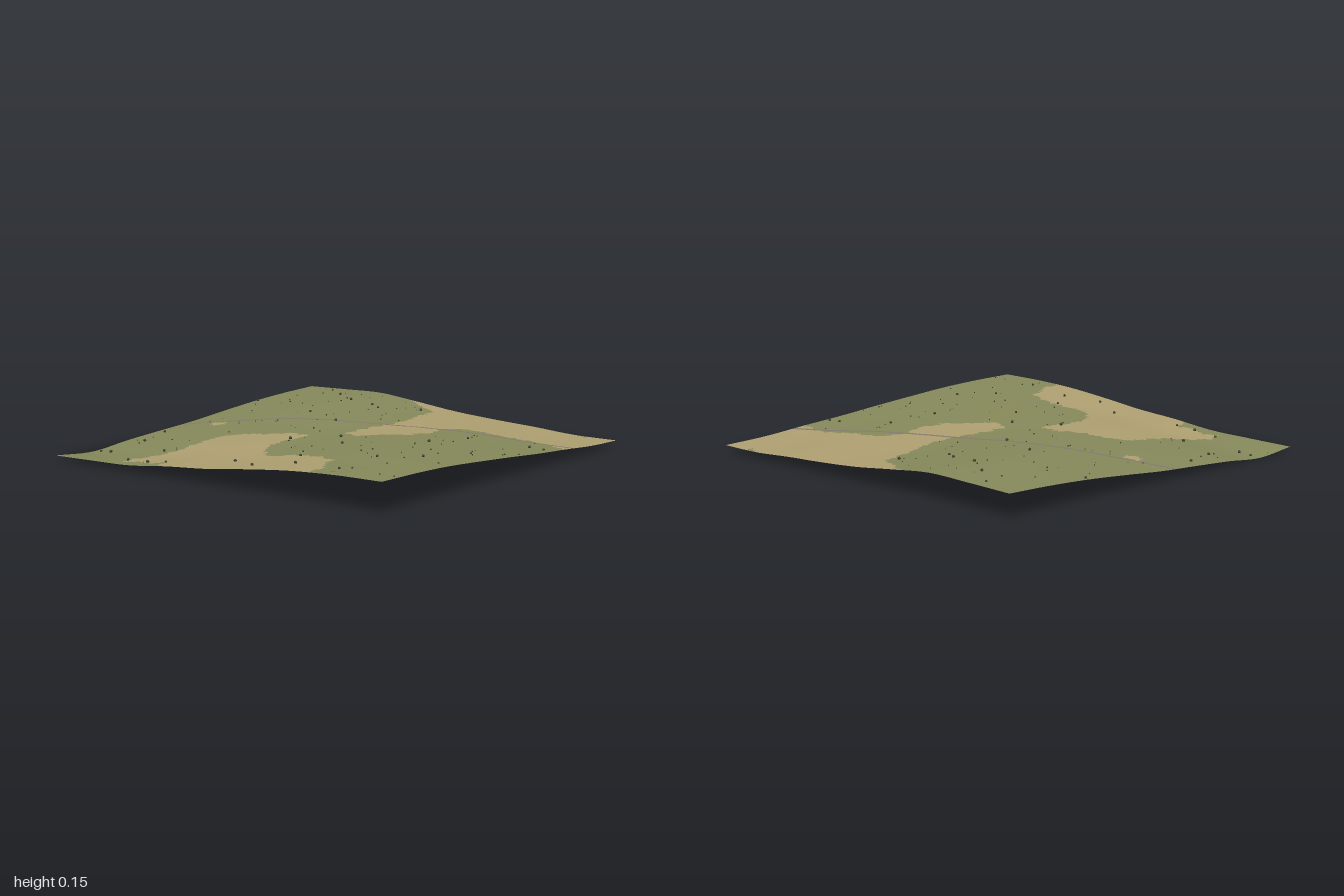
import * as THREE from 'three';
import { mergeGeometries } from 'three/addons/utils/BufferGeometryUtils.js';

const N = 200; // grid cells per side

// Edge heights, sampled every 0.25 from -1 to 1
const FRONT = [0.02, 0.026, 0.034, 0.06, 0.08, 0.11, 0.135, 0.148, 0.152];
const BACK = [0.115, 0.122, 0.126, 0.102, 0.075, 0.058, 0.046, 0.031, 0.03];
const LEFT = [0.115, 0.108, 0.095, 0.075, 0.053, 0.038, 0.022, 0.001, 0.02]; // x = -1
const RIGHT = [0.03, 0.04, 0.06, 0.078, 0.1, 0.12, 0.138, 0.148, 0.152]; // x = +1

// Outlines of the bare soil, as [x, z]
const SOIL = [
  [[-0.32, -1.01], [-0.2, -0.93], [-0.04, -0.85], [0, -0.65], [0.05, -0.5], [0.06, -0.35], [0.04, -0.1],
    [0.05, 0.02], [0.13, 0.07], [0.2, 0.03], [0.22, -0.02], [0.33, -0.13], [0.37, -0.28], [0.32, -0.4],
    [0.36, -0.48], [0.45, -0.52], [0.6, -0.52], [0.75, -0.55], [0.9, -0.53], [1.01, -0.48], [1.01, -1.01],
    [0.85, -1.01], [0.83, -0.97], [0.79, -0.98], [0.77, -1.01]],
  [[-0.31, 1.01], [-0.37, 0.88], [-0.42, 0.93], [-0.52, 0.9], [-0.6, 0.93], [-0.62, 0.85], [-0.56, 0.72],
    [-0.52, 0.65], [-0.51, 0.35], [-0.4, 0.26], [-0.28, 0.24], [-0.2, 0.17], [-0.08, 0.16], [-0.06, 0.25],
    [-0.09, 0.36], [-0.06, 0.5], [0.03, 0.62], [0.1, 0.67], [0.25, 0.63], [0.4, 0.65], [0.5, 0.7],
    [0.52, 0.78], [0.58, 0.85], [0.6, 1.01]],
  [[-0.83, 0.04], [-0.75, 0.02], [-0.72, 0.07], [-0.76, 0.1], [-0.81, 0.09]],
];

// Larger shrubs, as [x, z]
const SHRUBS = [
  [-0.79, -0.93], [-0.64, -0.81], [-0.48, -0.7], [-0.32, -0.68], [-0.25, -0.64], [-0.45, -0.31], [-0.2, -0.21],
  [-0.59, 0.66], [-0.87, 0.51], [-0.95, 0.74], [-0.88, 0.74], [-0.93, 0.3], [0.24, 0.3], [0.63, 0.54],
  [0.78, 0.39], [0.88, -0.36], [0.96, -0.36], [0.38, 0.82], [0.67, 0.87], [0.19, 0.9], [0, 0.8], [0.27, 0.65],
  [0.58, -0.27], [0.53, -0.01], [0.1, 0.13], [-0.46, 0.91], [-0.35, 0.9], [-0.61, 0.89], [-0.09, 0.29],
  [-0.98, -0.5], [-0.09, -0.81],
];

function seeded(seed) {
  return () => {
    seed = (seed * 16807) % 2147483647;
    return seed / 2147483647;
  };
}

// Smooth curve through evenly spaced samples, t in -1..1
function sample(a, t) {
  const s = (t + 1) * 4;
  const i = Math.min(7, Math.max(0, Math.floor(s)));
  const f = s - i;
  const p1 = a[i], p2 = a[i + 1];
  const p0 = i > 0 ? a[i - 1] : 2 * p1 - p2;
  const p3 = i < 7 ? a[i + 2] : 2 * p2 - p1;
  return p1 + 0.5 * f * (p2 - p0 + f * (2 * p0 - 5 * p1 + 4 * p2 - p3 + f * (3 * (p1 - p2) + p3 - p0)));
}

// Saddle-shaped surface blended from the four edges, slightly raised in the middle
function height(x, z) {
  const u = (x + 1) / 2, v = (z + 1) / 2;
  const across = sample(BACK, x) * (1 - v) + sample(FRONT, x) * v;
  const along = sample(LEFT, z) * (1 - u) + sample(RIGHT, z) * u;
  const corners = (BACK[0] * (1 - u) + BACK[8] * u) * (1 - v) + (FRONT[0] * (1 - u) + FRONT[8] * u) * v;
  return across + along - corners + 0.033 * (1 - x * x) * (1 - z * z);
}

function inside(poly, x, z) {
  let hit = false;
  for (let i = 0, j = poly.length - 1; i < poly.length; j = i++) {
    const [ax, az] = poly[i], [bx, bz] = poly[j];
    if ((az > z) !== (bz > z) && x < ((bx - ax) * (z - az)) / (bz - az) + ax) hit = !hit;
  }
  return hit;
}

// Ragged wobble moves the soil borders a little
function isSoil(x, z) {
  const wx = x + 0.008 * Math.sin(z * 61 + Math.sin(x * 37)) + 0.006 * Math.sin(z * 143);
  const wz = z + 0.008 * Math.sin(x * 67 + Math.sin(z * 41)) + 0.006 * Math.sin(x * 151);
  return SOIL.some((poly) => inside(poly, wx, wz));
}

function isRoad(x, z) {
  const centre = -0.29 - 0.335 * x + 0.055 * x * x;
  const slope = -0.335 + 0.11 * x;
  return Math.abs(z - centre) / Math.hypot(1, slope) < 0.011;
}

export function createModel() {
  const group = new THREE.Group();
  group.name = 'terrain';
  const material = (name, color) => new THREE.MeshStandardMaterial({ name, color, side: THREE.DoubleSide });
  const materials = {
    grass: material('grass green', 0x878a5b),
    soil: material('dry soil', 0xb0a172),
    road: material('road grey', 0x857971),
  };
  const shrubMaterial = new THREE.MeshStandardMaterial({ name: 'shrub green', color: 0x3c4630 });

  // Ground sheet
  const ground = new THREE.PlaneGeometry(2, 2, N, N).rotateX(-Math.PI / 2);
  const pos = ground.attributes.position;
  for (let i = 0; i < pos.count; i++) pos.setY(i, height(pos.getX(i), pos.getZ(i)));
  ground.computeVertexNormals();

  // Sort its triangles into grass, soil and road
  const faces = { grass: [], soil: [], road: [] };
  const index = ground.index.array;
  for (let i = 0; i < index.length; i += 3) {
    const tri = [index[i], index[i + 1], index[i + 2]];
    const x = tri.reduce((s, k) => s + pos.getX(k), 0) / 3;
    const z = tri.reduce((s, k) => s + pos.getZ(k), 0) / 3;
    const kind = isRoad(x, z) ? 'road' : isSoil(x, z) ? 'soil' : 'grass';
    faces[kind].push(...tri);
  }
  for (const kind in faces) {
    const geometry = new THREE.BufferGeometry();
    geometry.setAttribute('position', pos);
    geometry.setAttribute('normal', ground.attributes.normal);
    geometry.setIndex(faces[kind]);
    const mesh = new THREE.Mesh(geometry, materials[kind]);
    mesh.name = kind;
    group.add(mesh);
  }

  // Shrubs: the larger ones in place, small ones scattered on the grass
  const rand = seeded(4711);
  const shrubs = [];
  const addShrub = (x, z, r) => {
    const g = new THREE.IcosahedronGeometry(r, 0);
    g.rotateY(rand() * 6);
    g.translate(x, height(x, z) + r * 0.6, z);
    shrubs.push(g);
  };
  for (const [x, z] of SHRUBS) addShrub(x, z, 0.006 + 0.003 * rand());
  while (shrubs.length < 130) {
    const x = rand() * 1.96 - 0.98, z = rand() * 1.96 - 0.98;
    if (!isSoil(x, z) && !isRoad(x, z)) addShrub(x, z, 0.002 + 0.003 * rand());
  }
  const shrubMesh = new THREE.Mesh(mergeGeometries(shrubs), shrubMaterial);
  shrubMesh.name = 'shrubs';
  group.add(shrubMesh);

  return group;
}
